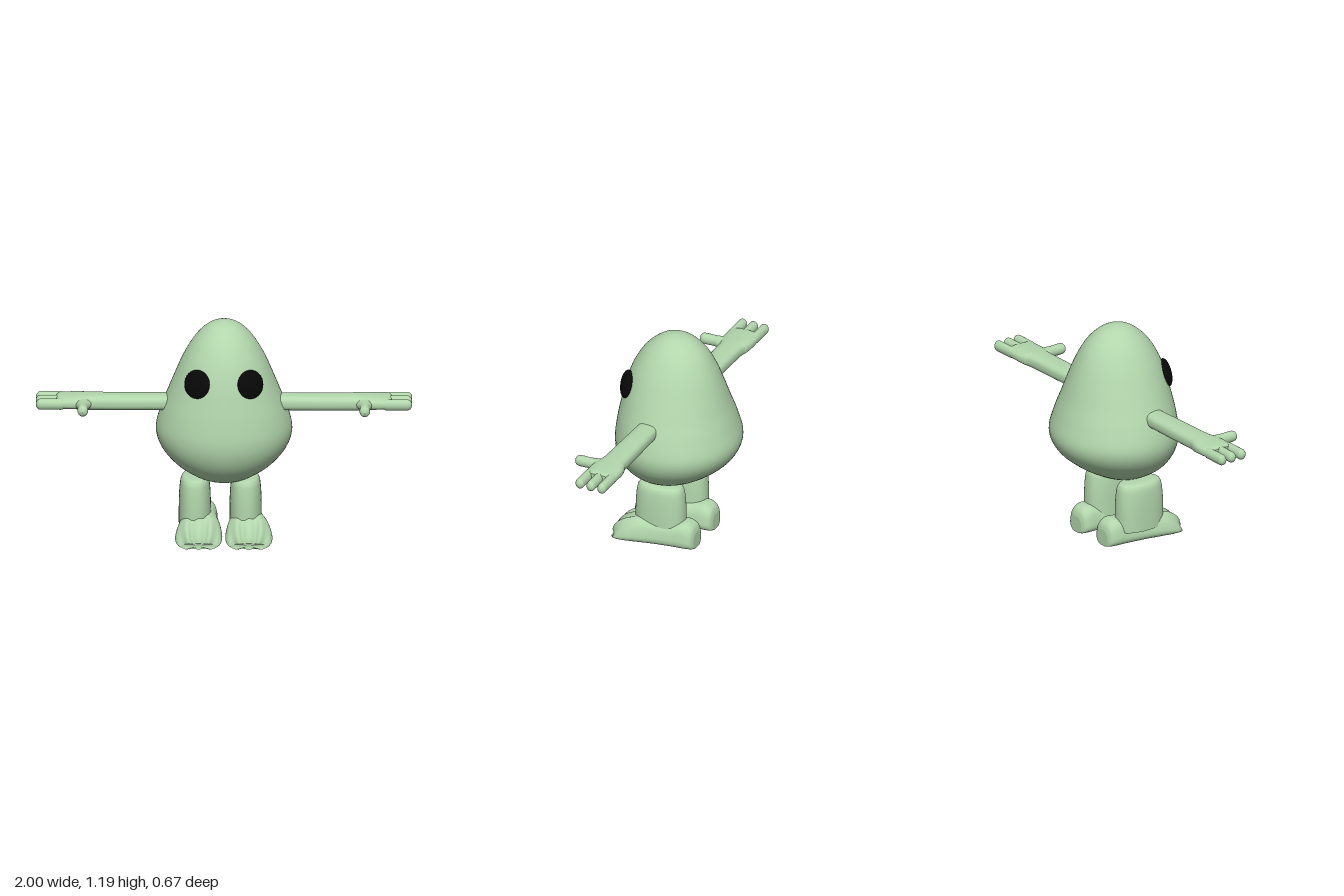
import * as THREE from 'three';

const green = new THREE.MeshStandardMaterial({ color: 0xb2d6ac });
const black = new THREE.MeshStandardMaterial({ color: 0x080808 });

// Superellipse sine/cosine: power 1 is an ellipse, lower is boxier
const sup = (v, power) => Math.sign(v) * Math.abs(v) ** power;

// Catmull-Rom interpolation of one section value
function blend(a, b, c, d, t) {
  const cubic = 3 * (b - c) + d - a;
  const square = 2 * a - 5 * b + 4 * c - d;
  return b + 0.5 * t * (c - a + t * (square + t * cubic));
}

// Smoothly interpolate rows of section values
function smoothRows(keys, steps) {
  const rows = [];
  for (let i = 0; i < keys.length - 1; i++) {
    const a = keys[Math.max(i - 1, 0)], b = keys[i], c = keys[i + 1];
    const d = keys[Math.min(i + 2, keys.length - 1)];
    for (let s = 0; s < steps; s++) {
      rows.push(b.map((v, k) => blend(a[k], v, c[k], d[k], s / steps)));
    }
  }
  rows.push(keys[keys.length - 1]);
  return rows;
}

function flip(geo) {
  const ix = geo.index.array;
  for (let i = 0; i < ix.length; i += 3) [ix[i], ix[i + 1]] = [ix[i + 1], ix[i]];
  return geo;
}

// Closed skin over cross-sections; point(row, angle) gives [x, y, z]
function loft(keys, point, { steps = 5, sides = 40 } = {}) {
  const rows = smoothRows(keys, steps), pos = [], index = [];
  const addRing = (row) => {
    for (let j = 0; j < sides; j++) pos.push(...point(row, (j / sides) * Math.PI * 2));
  };
  rows.forEach(addRing);
  for (let i = 0; i < rows.length - 1; i++) {
    for (let j = 0; j < sides; j++) {
      const a = i * sides + j, b = i * sides + (j + 1) % sides;
      index.push(a, b, b + sides, a, b + sides, a + sides);
    }
  }
  // End caps with their own rim so the edges stay crisp
  [rows[0], rows[rows.length - 1]].forEach((row, end) => {
    const start = pos.length / 3, mid = [0, 0, 0];
    addRing(row);
    for (let j = 0; j < sides; j++) {
      for (let k = 0; k < 3; k++) mid[k] += pos[(start + j) * 3 + k] / sides;
    }
    pos.push(...mid);
    for (let j = 0; j < sides; j++) {
      const a = start + j, b = start + (j + 1) % sides, c = start + sides;
      index.push(...(end ? [a, b, c] : [b, a, c]));
    }
  });
  const geo = new THREE.BufferGeometry();
  geo.setAttribute('position', new THREE.Float32BufferAttribute(pos, 3));
  geo.setIndex(index);
  // Turn the faces outward if the enclosed volume is negative
  let volume = 0;
  const v = [0, 1, 2].map(() => new THREE.Vector3());
  for (let i = 0; i < index.length; i += 3) {
    v.forEach((p, k) => p.fromBufferAttribute(geo.attributes.position, index[i + k]));
    volume += v[0].dot(v[1].cross(v[2]));
  }
  if (volume < 0) flip(geo);
  geo.computeVertexNormals();
  return geo;
}

// Egg body: [y, half width, front z, back z]
function bodyGeometry() {
  const keys = [
    [0.312, 0, 0.05, 0.05], [0.325, 0.09, 0.145, -0.03], [0.36, 0.175, 0.215, -0.11],
    [0.42, 0.265, 0.28, -0.21], [0.5, 0.335, 0.322, -0.3], [0.59, 0.363, 0.336, -0.336],
    [0.7, 0.34, 0.325, -0.31], [0.8, 0.302, 0.307, -0.276], [0.9, 0.262, 0.285, -0.244],
    [1.0, 0.218, 0.252, -0.207], [1.09, 0.165, 0.2, -0.16], [1.15, 0.112, 0.142, -0.105],
    [1.185, 0.06, 0.085, -0.045], [1.197, 0, 0.02, 0.02],
  ];
  return loft(keys, ([y, w, f, b], a) =>
    [w * Math.cos(a), y, (f + b) / 2 + (f - b) / 2 * Math.sin(a)], { sides: 64 });
}

// Arm and palm: [x, centre y, centre z, half height, half depth]
function armGeometry() {
  const keys = [
    [0.29, 0.748, 0.04, 0.042, 0.06], [0.5, 0.748, 0.04, 0.042, 0.065],
    [0.69, 0.749, 0.04, 0.042, 0.068], [0.74, 0.75, 0.04, 0.04, 0.08],
    [0.79, 0.752, 0.04, 0.036, 0.089], [0.87, 0.752, 0.041, 0.032, 0.088],
    [0.89, 0.752, 0.041, 0.022, 0.08],
  ];
  return loft(keys, ([x, y, z, h, d], a) =>
    [x, y + h * sup(Math.sin(a), 0.75), z + d * sup(Math.cos(a), 0.75)]);
}

// Thumb pointing forward: [z, half width, half height]
function thumbGeometry() {
  const keys = [
    [0.09, 0.055, 0.03], [0.125, 0.038, 0.03], [0.16, 0.028, 0.03],
    [0.215, 0.028, 0.03], [0.235, 0.021, 0.022], [0.245, 0, 0],
  ];
  return loft(keys, ([z, w, h], a) => [0.75 + w * Math.cos(a), 0.75 + h * Math.sin(a), z], { sides: 20 });
}

// Oval leg: [y, half width, half depth]
function legGeometry() {
  const keys = [
    [0.08, 0.086, 0.142], [0.2, 0.085, 0.141], [0.28, 0.081, 0.136],
    [0.325, 0.072, 0.126], [0.343, 0.05, 0.1], [0.347, 0, 0],
  ];
  return loft(keys, ([y, w, d], a) =>
    [0.135 + w * sup(Math.cos(a), 0.85), y, 0.05 + d * sup(Math.sin(a), 0.85)]);
}

// Flat-soled foot with softly lobed toes: [z, centre x, half width, height]
function footGeometry() {
  const keys = [
    [-0.163, 0.115, 0.045, 0.09], [-0.15, 0.115, 0.072, 0.125], [-0.11, 0.117, 0.085, 0.148],
    [-0.04, 0.12, 0.09, 0.142], [0.06, 0.125, 0.105, 0.147], [0.14, 0.13, 0.122, 0.147],
    [0.2, 0.133, 0.13, 0.128], [0.25, 0.134, 0.127, 0.095], [0.28, 0.134, 0.115, 0.06],
    [0.293, 0.134, 0.1, 0.032],
  ];
  return loft(keys, ([z, cx, w, h], a) => {
    const u = sup(Math.cos(a), 0.6), up = (1 + sup(Math.sin(a), 0.6)) / 2;
    const toe = THREE.MathUtils.smoothstep(z, 0.12, 0.29) * Math.cos(3 * Math.PI * u);
    return [cx + w * u * (1 - 0.28 * up * up), 0.003 + h * up * (1 + 0.1 * toe), z + 0.01 * toe];
  }, { sides: 56 });
}

export function createModel() {
  const model = new THREE.Group();
  const add = (name, geo, material = green) => {
    const mesh = new THREE.Mesh(geo, material);
    mesh.name = name;
    model.add(mesh);
    return mesh;
  };
  // Add a part on the left (+x) and its mirror image on the right
  const addPair = (name, geo, material = green, shift = 0) => {
    add('left' + name, geo, material).position.x = shift;
    add('right' + name, flip(geo.clone().scale(-1, 1, 1)), material).position.x = shift;
  };

  add('body', bodyGeometry());

  // Flattened eyes set into the face
  const eye = new THREE.SphereGeometry(1, 32, 20).scale(0.079, 0.077, 0.03);
  addPair('Eye', eye.rotateX(-0.25).rotateY(0.6).translate(0.142, 0.908, 0.24), black);

  // Arms, fingers and thumbs
  addPair('Arm', armGeometry());
  [-0.023, 0.041, 0.106].forEach((z, i) => {
    const finger = new THREE.CapsuleGeometry(0.025, 0.11, 8, 20).rotateZ(Math.PI / 2);
    addPair('Finger' + (i + 1), finger.scale(1, 1.2, 1).translate(0.92, 0.751, z));
  });
  addPair('Thumb', thumbGeometry());

  // Legs and feet
  addPair('Leg', legGeometry(), green, -0.02);
  addPair('Foot', footGeometry());
  return model;
}
